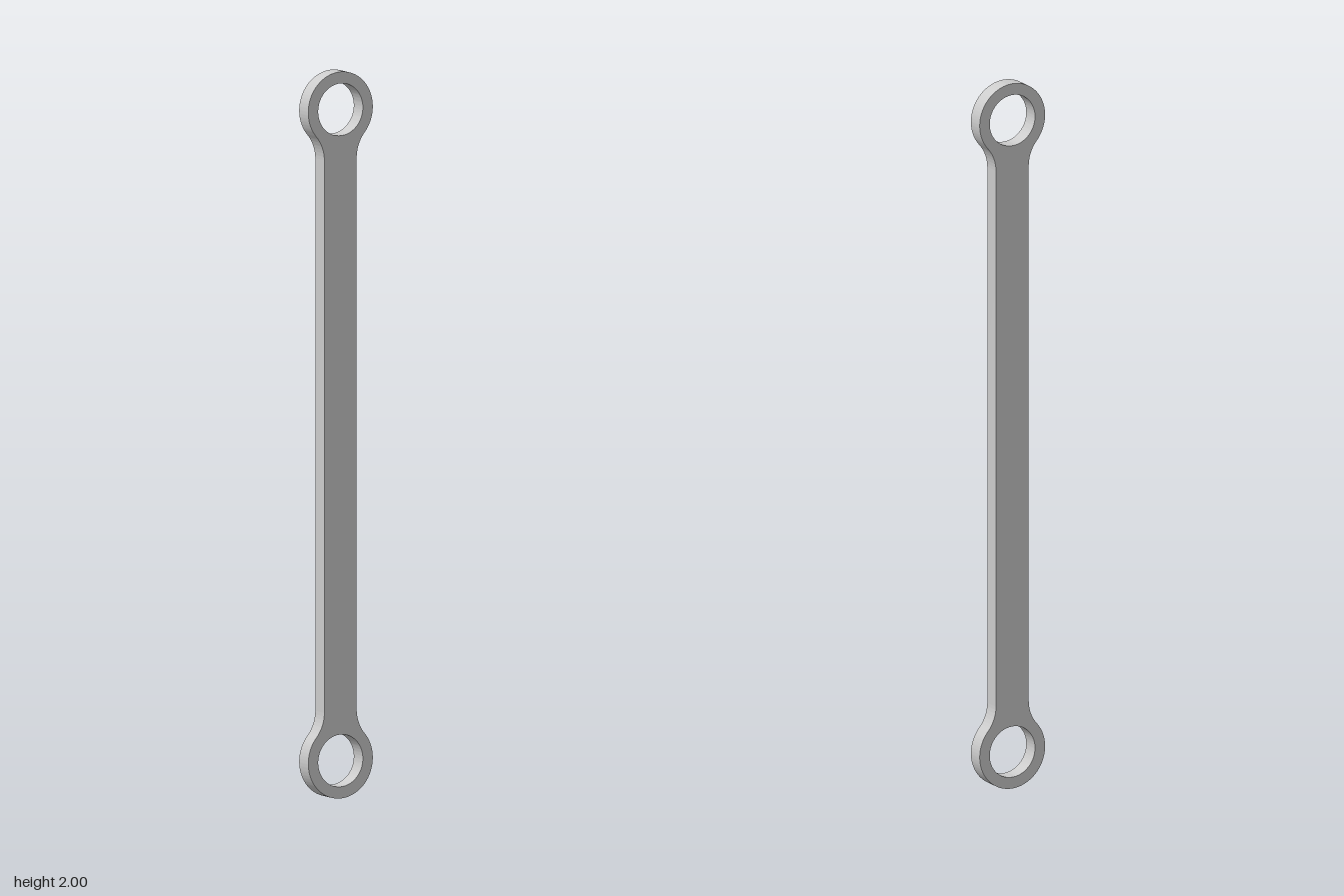
import * as THREE from 'three';
import { toCreasedNormals } from 'three/addons/utils/BufferGeometryUtils.js';

const eyeRadius = 0.104, holeRadius = 0.072, halfWidth = 0.052, fillet = 0.104, thickness = 0.046;
const bottom = eyeRadius, top = 2 - eyeRadius;

export function createModel() {
  const group = new THREE.Group();
  group.name = 'linkRod';

  // Fillet circles touch both the straight shank and the round eye
  const fx = halfWidth + fillet;
  const fy = Math.sqrt((eyeRadius + fillet) ** 2 - fx ** 2);
  const a = Math.atan2(fy, fx);
  const PI = Math.PI;

  // Outline, counter-clockwise from the right of the top eye
  const outline = new THREE.Shape();
  outline.absarc(0, top, eyeRadius, -a, PI + a, false);
  outline.absarc(-fx, top - fy, fillet, a, 0, true);
  outline.absarc(-fx, bottom + fy, fillet, 0, -a, true);
  outline.absarc(0, bottom, eyeRadius, PI - a, 2 * PI + a, false);
  outline.absarc(fx, bottom + fy, fillet, PI + a, PI, true);
  outline.absarc(fx, top - fy, fillet, PI, PI - a, true);

  // Round hole through each eye
  for (const y of [bottom, top]) {
    const hole = new THREE.Path();
    hole.absarc(0, y, holeRadius, 0, 2 * PI, true);
    outline.holes.push(hole);
  }

  // Flat bar with smooth rounded walls and sharp face edges
  const geometry = new THREE.ExtrudeGeometry(outline, { depth: thickness, bevelEnabled: false, curveSegments: 48 });
  geometry.translate(0, 0, -thickness / 2);
  const bar = new THREE.Mesh(
    toCreasedNormals(geometry, PI / 6),
    new THREE.MeshStandardMaterial({ color: 0xcccccc })
  );
  bar.name = 'barWithEyes';
  group.add(bar);
  return group;
}
